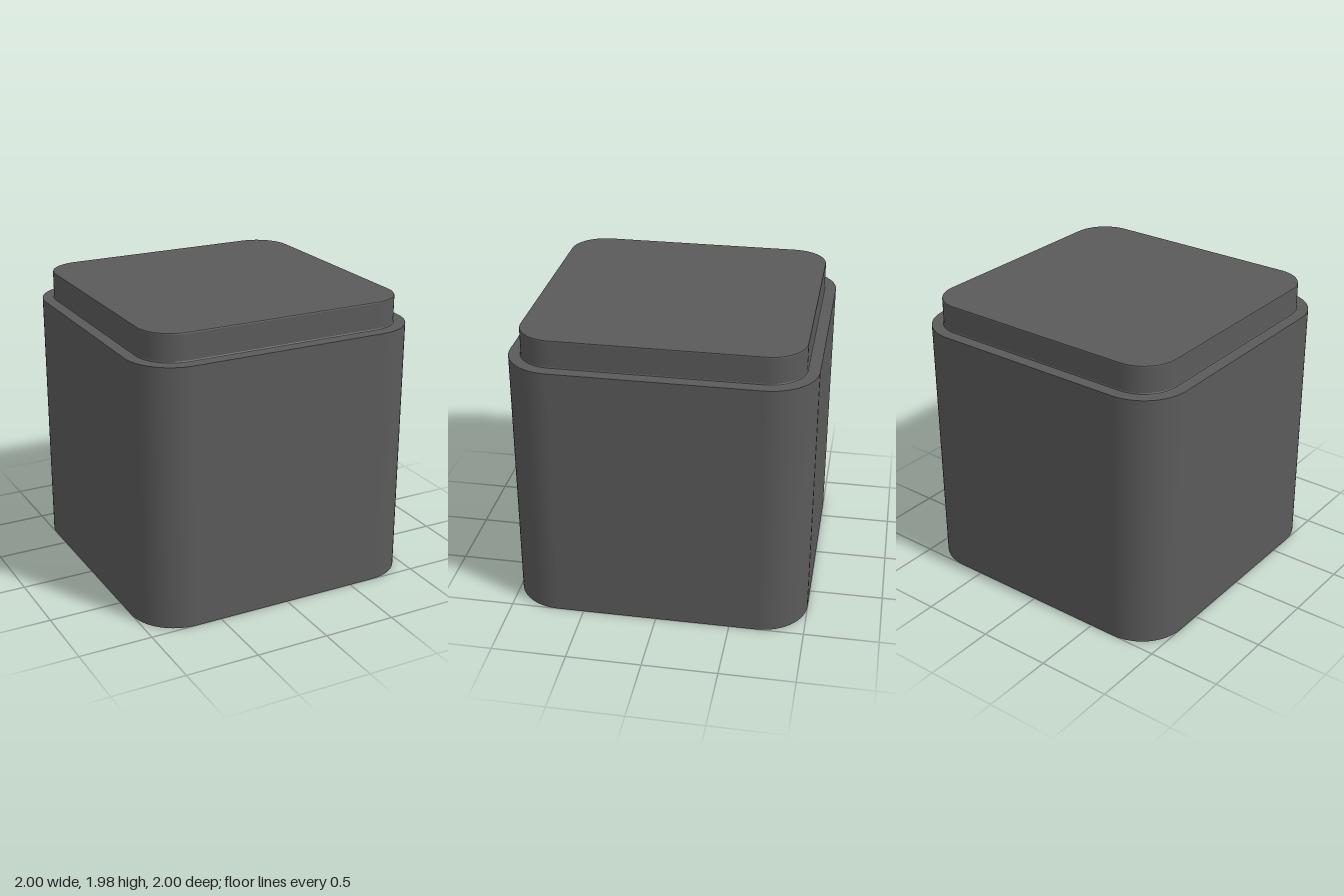
import * as THREE from 'three';

const CORNER = 0.68; // centre of every corner arc; all outlines are parallel offsets
const STEPS = 16;

// Directions around the rounded square, with the arc centre of each corner
function outline() {
  const points = [];
  for (let c = 0; c < 4; c++) {
    const sx = c === 0 || c === 3 ? 1 : -1;
    const sz = c < 2 ? 1 : -1;
    for (let i = 0; i <= STEPS; i++) {
      const a = (c + i / STEPS) * Math.PI / 2;
      points.push({ cx: sx * CORNER, cz: sz * CORNER, dx: Math.cos(a), dz: Math.sin(a) });
    }
  }
  points.push(points[0]);
  return points;
}

// Sweep a profile of [half width, height] around the outline, with crisp edges between bands
function sweep(profile) {
  const ring = outline();
  const position = [], normal = [], index = [];
  for (let k = 0; k < profile.length - 1; k++) {
    const [h0, y0] = profile[k], [h1, y1] = profile[k + 1];
    const length = Math.hypot(h1 - h0, y1 - y0);
    const out = (y1 - y0) / length, up = -(h1 - h0) / length;
    const base = position.length / 3;
    for (const p of ring) {
      for (const [h, y] of [[h0, y0], [h1, y1]]) {
        if (h === 0) position.push(0, y, 0);
        else position.push(p.cx + p.dx * (h - CORNER), y, p.cz + p.dz * (h - CORNER));
        normal.push(p.dx * out, up, p.dz * out);
      }
    }
    for (let j = 0; j < ring.length - 1; j++) {
      const a = base + j * 2;
      if (h0 !== 0) index.push(a, a + 1, a + 2);
      if (h1 !== 0) index.push(a + 1, a + 3, a + 2);
    }
  }
  const geometry = new THREE.BufferGeometry();
  geometry.setAttribute('position', new THREE.Float32BufferAttribute(position, 3));
  geometry.setAttribute('normal', new THREE.Float32BufferAttribute(normal, 3));
  geometry.setIndex(index);
  return geometry;
}

export function createModel() {
  const group = new THREE.Group();
  group.name = 'hollowCover';
  const charcoal = new THREE.MeshStandardMaterial({ color: 0x5a5a5a });
  charcoal.name = 'charcoal';

  const parts = {
    // Hollow underside, open at the bottom
    innerShell: [[0, 1.91], [0.86, 1.91], [0.86, 1.73], [0.945, 1.73], [0.945, 0]],
    bottomRim: [[0.945, 0], [1, 0]],
    // Outer walls and the flat ledge
    body: [[1, 0], [1, 1.785], [0.93, 1.785]],
    // Raised top with a small fillet at its foot and a softened edge
    raisedTop: [[0.93, 1.785], [0.923, 1.788], [0.92, 1.795], [0.92, 1.967],
      [0.918, 1.973], [0.912, 1.975], [0, 1.975]],
  };
  for (const [name, profile] of Object.entries(parts)) {
    const mesh = new THREE.Mesh(sweep(profile), charcoal);
    mesh.name = name;
    group.add(mesh);
  }
  return group;
}
